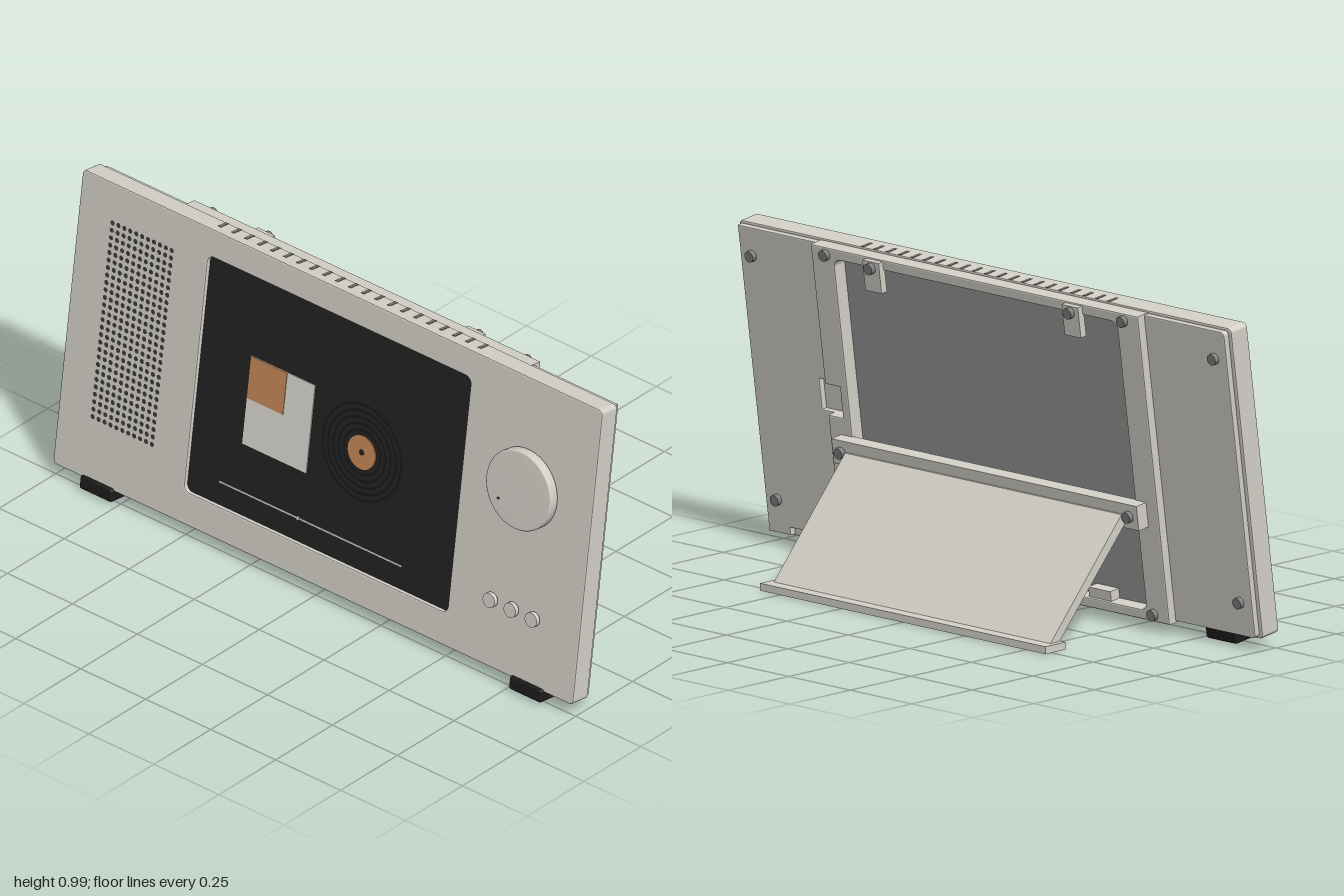
import * as THREE from 'three';
import { mergeGeometries } from 'three/addons/utils/BufferGeometryUtils.js';
import { RoundedBoxGeometry } from 'three/addons/geometries/RoundedBoxGeometry.js';

const mat = (name, color) => {
  const m = new THREE.MeshStandardMaterial({ color });
  m.name = name;
  return m;
};

export function createModel() {
  const shell = mat('warm grey shell', 0xd4d1c8);
  const black = mat('screen black', 0x222222);
  const rubber = mat('rubber black', 0x1c1c1c);
  const hole = mat('hole dark grey', 0x3a3a38);
  const slot = mat('vent grey', 0x6c6a65);
  const orange = mat('orange', 0xc68a58);
  const pale = mat('pale display', 0xdcdad2);
  const backGrey = mat('display back grey', 0x979b9b);
  const steel = mat('screw grey', 0x7e8080);
  const groove = mat('record groove black', 0x181818);

  const root = new THREE.Group();
  root.name = 'tiltedRadio';
  // Everything but the stand lives in a frame leaning back: y along the face, z outward
  const tilt = new THREE.Group();
  tilt.name = 'tiltedUnit';
  tilt.position.set(0, 0.048, 0.264);
  tilt.rotation.x = -8 * Math.PI / 180;
  root.add(tilt);

  const add = (name, geo, material, parent = tilt) => {
    const m = new THREE.Mesh(geo, material);
    m.name = name;
    parent.add(m);
    return m;
  };
  const box = (x0, x1, y0, y1, z0, z1) =>
    new THREE.BoxGeometry(x1 - x0, y1 - y0, z1 - z0)
      .translate((x0 + x1) / 2, (y0 + y1) / 2, (z0 + z1) / 2);
  const disc = (r, x, y, z0, z1, n = 24) =>
    new THREE.CylinderGeometry(r, r, z1 - z0, n).rotateX(Math.PI / 2).translate(x, y, (z0 + z1) / 2);
  const poly = (pts) => new THREE.Shape(pts.map(([x, y]) => new THREE.Vector2(x, y)));
  const roundRect = (x0, x1, y0, y1, r, S = THREE.Shape) => {
    const s = new S();
    s.absarc(x1 - r, y0 + r, r, -Math.PI / 2, 0);
    s.absarc(x1 - r, y1 - r, r, 0, Math.PI / 2);
    s.absarc(x0 + r, y1 - r, r, Math.PI / 2, Math.PI);
    s.absarc(x0 + r, y0 + r, r, Math.PI, Math.PI * 1.5);
    s.closePath();
    return s;
  };
  const extrude = (shape, z0, z1, b = 0) =>
    new THREE.ExtrudeGeometry(shape, {
      depth: z1 - z0 - 2 * b, bevelEnabled: b > 0, bevelSize: b, bevelThickness: b,
      bevelOffset: -b, bevelSegments: 2, curveSegments: 6,
    }).translate(0, 0, z0 + b);

  // Front housing with the display opening
  const housing = roundRect(-1, 1, 0, 0.955, 0.015);
  housing.holes.push(roundRect(-0.508, 0.504, 0.104, 0.868, 0.022, THREE.Path));
  add('housing', extrude(housing, -0.067, 0, 0.004), shell);

  // Display and its picture
  add('display', box(-0.53, 0.53, 0.09, 0.88, -0.058, -0.013), black);
  add('albumCard', box(-0.32, -0.074, 0.328, 0.613, -0.014, -0.010), pale);
  add('albumSquare', box(-0.32, -0.18, 0.477, 0.613, -0.012, -0.008), orange);
  for (let r = 0.07; r < 0.16; r += 0.02) {
    add('recordGroove', new THREE.RingGeometry(r - 0.004, r + 0.004, 40).translate(0.122, 0.473, -0.0115), groove);
  }
  add('recordLabel', disc(0.053, 0.122, 0.473, -0.014, -0.010, 32), orange);
  add('recordHole', disc(0.009, 0.122, 0.473, -0.012, -0.008, 12), black);
  add('progressLine', box(-0.392, 0.31, 0.174, 0.179, -0.014, -0.011), pale);
  add('progressMark', disc(0.006, -0.088, 0.1765, -0.014, -0.009, 12), pale);

  // Speaker grille
  const dots = [];
  for (let i = 0; i < 11; i++) {
    for (let j = 0; j < 27; j++) {
      dots.push(new THREE.CircleGeometry(0.008, 8).translate(-0.87 + i * 0.0228, 0.202 + j * 0.0242, 0.0012));
    }
  }
  add('speakerGrille', mergeGeometries(dots), hole);

  // Dial with a softened rim
  const dialProfile = [[0, 0.005], [0.12, 0.005], [0.125, 0.010], [0.125, 0.034], [0.123, 0.038], [0.119, 0.040], [0, 0.040]]
    .map(([r, h]) => new THREE.Vector2(r, h));
  add('dial', new THREE.LatheGeometry(dialProfile, 48).rotateX(Math.PI / 2).translate(0.75, 0.612, 0), shell);
  add('dialShaft', disc(0.112, 0.75, 0.612, -0.005, 0.006, 40), hole);
  add('dialMark', disc(0.005, 0.68, 0.561, 0.038, 0.0412, 10), hole);

  // Push buttons on short stems
  for (const x of [0.669, 0.75, 0.831]) {
    add('buttonStem', disc(0.016, x, 0.218, -0.005, 0.01, 16), shell);
    add('button', disc(0.023, x, 0.218, 0.008, 0.022, 20), shell);
  }

  // Vent slots along the top
  const slots = [];
  for (let i = 0; i < 21; i++) {
    const x = -0.5 + i * 0.05;
    slots.push(box(x - 0.006, x + 0.006, 0.95, 0.9562, -0.064, -0.029));
  }
  add('topVents', mergeGeometries(slots), slot);

  // Rubber feet
  for (const s of [-1, 1]) {
    add('foot', new RoundedBoxGeometry(0.124, 0.043, 0.078, 2, 0.008).translate(s * 0.826, -0.0135, -0.029), rubber);
  }

  // Rear side covers, with cable notches on one side
  add('rearCover', extrude(poly([
    [0.62, 0.006], [0.83, 0.006], [0.83, 0.03], [0.9, 0.03], [0.9, 0.006], [0.988, 0.006],
    [0.988, 0.947], [0.62, 0.947], [0.62, 0.52], [0.715, 0.52], [0.715, 0.425], [0.62, 0.425],
  ]), -0.086, -0.066, 0.003), shell);
  add('rearCover', extrude(roundRect(-0.988, -0.62, 0.006, 0.947, 0.012), -0.086, -0.066, 0.003), shell);

  // Deep rear frame around the display back, with a gap for the side port
  const frame = poly([
    [-0.665, 0.002], [0.665, 0.002], [0.665, 0.425], [0.605, 0.425],
    [0.605, 0.52], [0.665, 0.52], [0.665, 0.95], [-0.665, 0.95],
  ]);
  frame.holes.push(roundRect(-0.575, 0.575, 0.032, 0.918, 0.025, THREE.Path));
  add('rearFrame', extrude(frame, -0.113, -0.066, 0.004), shell);
  add('displayBack', box(-0.59, 0.59, 0.02, 0.93, -0.070, -0.060), backGrey);

  // Hinge bar across the back
  add('hingeBar', box(-0.62, 0.62, 0.297, 0.372, -0.153, -0.108), shell);

  // Mirrored rear fittings: bottom tabs, top hooks and screws
  const screw = (x, y, z) => add('screw', disc(0.017, x, y, z - 0.015, z + 0.005, 16), steel);
  for (const s of [-1, 1]) {
    add('bottomTab', box(s * 0.38 - 0.045, s * 0.38 + 0.045, 0.02, 0.062, -0.105, -0.068), shell);
    add('topHook', box(s * 0.405 - 0.033, s * 0.405 + 0.033, 0.852, 0.945, -0.130, -0.108), shell);
    screw(s * 0.405, 0.925, -0.130);
    screw(s * 0.94, 0.86, -0.086);
    screw(s * 0.94, 0.11, -0.086);
    screw(s * 0.605, 0.928, -0.113);
    screw(s * 0.605, 0.025, -0.113);
    screw(s * 0.585, 0.335, -0.153);
  }

  // Folding stand: slanted plate and foot lip, profile drawn as (-z, y) and swept along x
  const sweepX = (pts, w) => extrude(poly(pts), -w, w).rotateY(Math.PI / 2);
  add('standPlate', sweepX([[-0.075, 0.335], [0.203, 0.022], [0.24, 0.022], [-0.058, 0.362], [-0.075, 0.362]], 0.562), shell, root);
  add('standLip', box(-0.58, 0.58, 0.005, 0.027, -0.275, -0.192), shell, root);

  return root;
}
